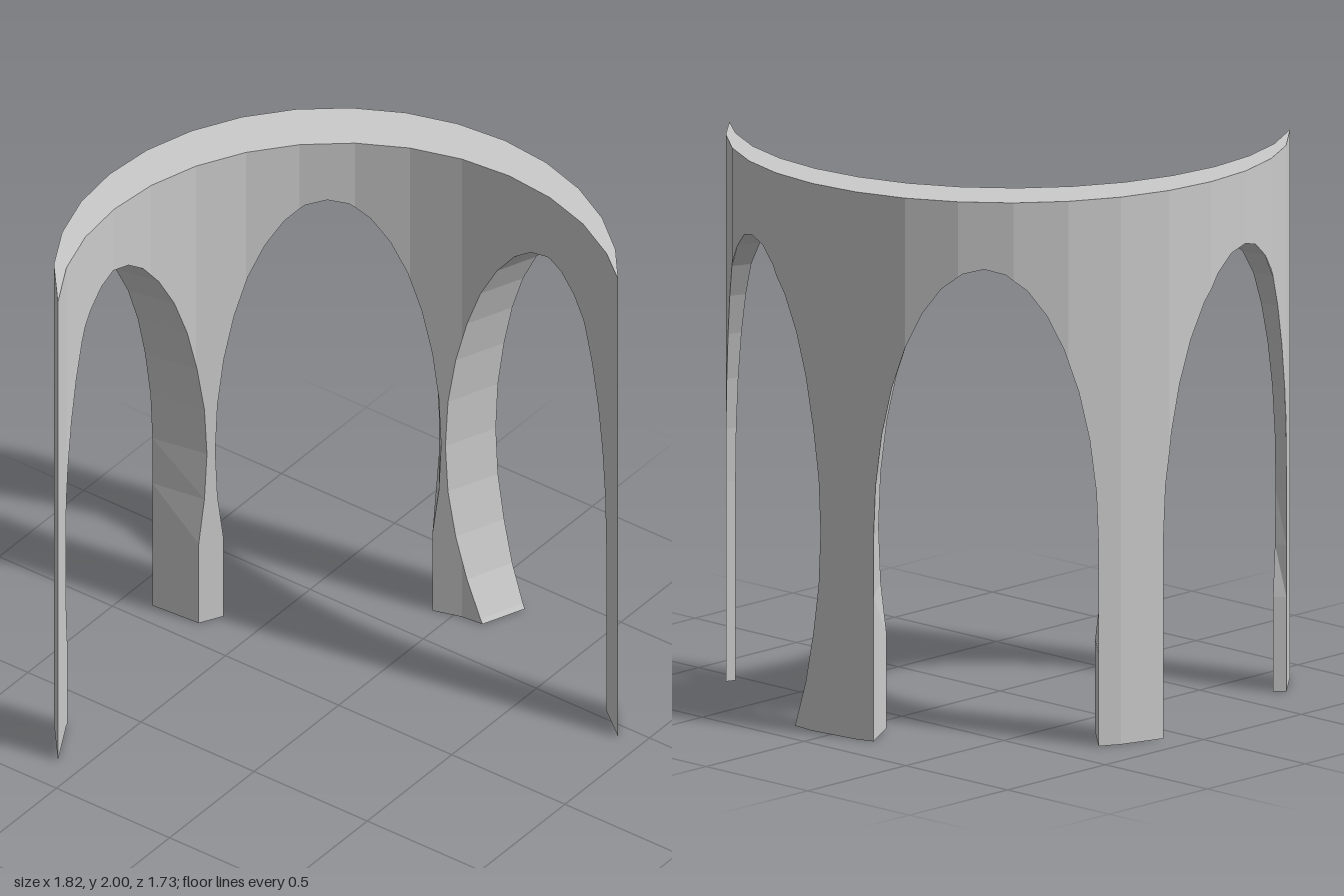
import * as THREE from 'three';

const H = 2, STEP = Math.PI / 16, DEG = Math.PI / 180;
const C = new THREE.Vector2(0.085, 0.13);   // centre of the outer unit circle (x, z)
const I = new THREE.Vector2(0.225, 0.292);  // centre of the inner unit circle

// Crescent plan: two arcs running between the shared tips
const axis = I.clone().sub(C);
const mid = C.clone().add(I).multiplyScalar(0.5);
const half = Math.sqrt(1 - axis.lengthSq() / 4);
const side = new THREE.Vector2(axis.y, -axis.x).normalize().multiplyScalar(half);
const tipA = mid.clone().sub(side), tipB = mid.clone().add(side);
function arc(c, k0, k1) {
  const pts = [tipA];
  for (let k = k0; k <= k1; k++) pts.push(new THREE.Vector2(c.x + Math.cos(k * STEP), c.y + Math.sin(k * STEP)));
  pts.push(tipB);
  return pts;
}
const outer = arc(C, 13, 28), inner = arc(I, 14, 27);

// Point at fractional index s on a plan line
function at(line, s) {
  const i = Math.min(Math.floor(s), line.length - 2);
  return line[i].clone().lerp(line[i + 1], s - i);
}

// Arched openings: elliptical, with straighter jambs low down (minimum half-widths per side)
const A = 0.4, MID_Y = 0.73, N = 20;
const arches = [
  { angle: 169, b: 1.005, in: [0.375, 0.375], out: [A, A] },
  { angle: 231, b: 1.025, in: [0.37, 0.37], out: [A, A] },
  { angle: 291.5, b: 1.005, in: [0, A], out: [0, A] },
];
const uOf = (arch, p) => p.clone().sub(C).dot(arch.p);

// Carry a sideways offset u along the arch direction onto a plan line
function project(arch, line, u) {
  for (let i = 0; i < line.length - 1; i++) {
    const u0 = uOf(arch, line[i]), u1 = uOf(arch, line[i + 1]);
    const ahead = line[i].clone().add(line[i + 1]).multiplyScalar(0.5).sub(C).dot(arch.d) > 0;
    if (ahead && u0 <= u && u <= u1) return i + (u - u0) / (u1 - u0);
  }
  return u < 0 ? 0 : line.length - 1;
}

// Opening outline on one face: from the foot at +u, over the crown, to the foot at -u
function outline(arch, line, jamb) {
  const t0 = -Math.asin(MID_Y / arch.b), pts = [];
  const angles = [t0];
  for (let k = Math.ceil(t0 / STEP); k * STEP < Math.PI - t0; k++) angles.push(k * STEP);
  angles.push(Math.PI - t0);
  for (const t of angles) {
    let u = A * Math.cos(t);
    const y = Math.max(0, MID_Y + arch.b * Math.sin(t));
    if (Math.sin(t) < -1e-6) u = u > 0 ? Math.max(u, jamb[1]) : Math.min(u, -jamb[0]);
    pts.push({ u, y, s: project(arch, line, u) });
  }
  return pts;
}
for (const a of arches) {
  const t = a.angle * DEG;
  a.d = new THREE.Vector2(Math.cos(t), Math.sin(t));
  a.p = new THREE.Vector2(-Math.sin(t), Math.cos(t));
  a.inner = outline(a, inner, a.in);
  a.outer = outline(a, outer, a.out);
}

const v3 = (line, s, y) => { const p = at(line, s); return [p.x, y, p.y]; };
const quad = (out, a, b, c, d) => out.push(...a, ...b, ...c, ...a, ...c, ...d);

// Curved wall face, built in columns that stop at the openings
function wallFace(line, key) {
  const out = [];
  const breaks = line.map((_, i) => i);
  for (const a of arches) for (const q of a[key]) breaks.push(q.s);
  breaks.sort((x, y) => x - y);
  const strip = (s0, s1, lo, hi) => {
    const q = [v3(line, s0, lo[0]), v3(line, s1, lo[1]), v3(line, s1, hi[1]), v3(line, s0, hi[0])];
    if (key === 'outer') q.reverse();
    quad(out, ...q);
  };
  for (let i = 0; i < breaks.length - 1; i++) {
    const s0 = breaks[i], s1 = breaks[i + 1], sm = (s0 + s1) / 2;
    if (s1 - s0 < 1e-6) continue;
    let top = [0, 0], foot = null, hits = 0;
    for (const a of arches) {
      const us = [s0, s1, sm].map((s) => uOf(a, at(line, s)));
      const cuts = [];
      for (let k = 0; k < a[key].length - 1; k++) {
        const e = a[key][k], f = a[key][k + 1];
        if ((sm - e.s) * (sm - f.s) >= 0) continue;
        cuts.push(us.slice(0, 2).map((u) => e.y + (f.y - e.y) * (u - e.u) / (f.u - e.u)));
      }
      if (!cuts.length) continue;
      hits++;
      cuts.sort((x, y) => x[0] + x[1] - y[0] - y[1]);
      const hi = cuts[cuts.length - 1];
      if (hi[0] + hi[1] > top[0] + top[1]) top = hi;
      foot = cuts.length > 1 ? cuts[0] : null;
    }
    strip(s0, s1, top, [H, H]);
    if (hits === 1 && foot) strip(s0, s1, [0, 0], foot);
  }
  return out;
}

// Reveal surface through the wall inside one opening
function reveal(arch) {
  const out = [];
  for (let i = 0; i < arch.inner.length - 1; i++) {
    const [a, b] = [arch.inner[i], arch.inner[i + 1]], [c, d] = [arch.outer[i], arch.outer[i + 1]];
    quad(out, v3(inner, a.s, a.y), v3(inner, b.s, b.y), v3(outer, d.s, d.y), v3(outer, c.s, c.y));
  }
  return out;
}

// Flat cap between two stretches of the plan lines
function section(line, s0, s1) {
  const pts = [at(line, s0)];
  for (let i = 0; i < line.length; i++) if (i > s0 + 1e-4 && i < s1 - 1e-4) pts.push(line[i].clone());
  pts.push(at(line, s1));
  return pts;
}
function cap(o0, o1, i0, i1, y, up) {
  const back = section(inner, i0, i1).reverse();
  const pts = [...section(outer, o0, o1), ...back]
    .filter((p, i, all) => all.findIndex((q) => q.distanceTo(p) < 1e-5) === i);
  const out = [];
  for (const [a, b, c] of THREE.ShapeUtils.triangulateShape(pts, [])) {
    const [p, q, r] = [pts[a], pts[b], pts[c]];
    const facesUp = q.clone().sub(p).cross(r.clone().sub(p)) < 0;
    for (const w of facesUp === up ? [p, q, r] : [p, r, q]) out.push(w.x, y, w.y);
  }
  return out;
}

export function createModel() {
  const group = new THREE.Group();
  const material = new THREE.MeshStandardMaterial({ color: 0xcccccc, flatShading: true });
  const add = (name, positions) => {
    const g = new THREE.BufferGeometry();
    g.setAttribute('position', new THREE.Float32BufferAttribute(positions, 3));
    g.computeVertexNormals();
    const mesh = new THREE.Mesh(g, material);
    mesh.name = name;
    group.add(mesh);
  };
  add('outerWall', wallFace(outer, 'outer'));
  add('innerWall', wallFace(inner, 'inner'));
  add('topFace', cap(0, outer.length - 1, 0, inner.length - 1, H, true));
  arches.forEach((a, i) => add(['sideArch', 'middleArch', 'backArch'][i], reveal(a)));

  // Undersides of the four piers
  const foot = (a, key, end) => a[key][end ? 0 : a[key].length - 1].s;
  for (let i = 0; i <= arches.length; i++) {
    const prev = arches[i - 1], next = arches[i];
    const range = (key, line) => [prev ? foot(prev, key, true) : 0, next ? foot(next, key, false) : line.length - 1];
    add('pierBase' + (i + 1), cap(...range('outer', outer), ...range('inner', inner), 0, false));
  }
  return group;
}
